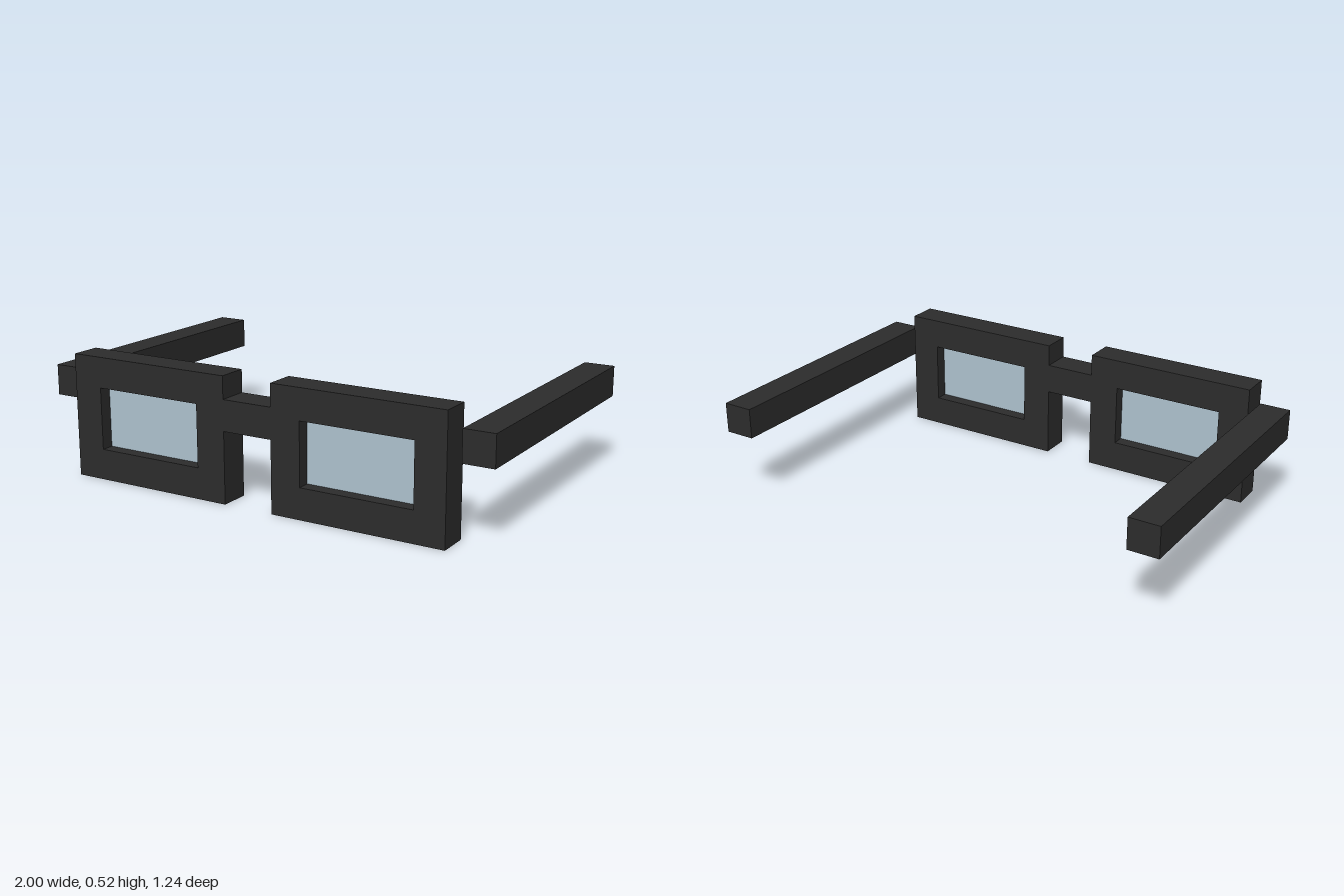
import * as THREE from 'three';

const frameMat = new THREE.MeshStandardMaterial({ color: 0x2c2c2c });
const lensMat = new THREE.MeshStandardMaterial({ color: 0xafc3cf });

// Box given by its extents on each axis
function box(name, [x0, x1], [y0, y1], [z0, z1], material) {
  const mesh = new THREE.Mesh(new THREE.BoxGeometry(x1 - x0, y1 - y0, z1 - z0), material);
  mesh.position.set((x0 + x1) / 2, (y0 + y1) / 2, (z0 + z1) / 2);
  mesh.name = name;
  return mesh;
}

function rectangle(path, x0, x1, y0, y1) {
  path.moveTo(x0, y0).lineTo(x1, y0).lineTo(x1, y1).lineTo(x0, y1).closePath();
  return path;
}

// Square-edged rim with a rectangular opening, centred on x = 0
function rimGeometry() {
  const shape = rectangle(new THREE.Shape(), -0.368, 0.368, 0, 0.516);
  shape.holes.push(rectangle(new THREE.Path(), -0.24, 0.24, 0.129, 0.388));
  return new THREE.ExtrudeGeometry(shape, { depth: 0.128, bevelEnabled: false });
}

export function createModel() {
  const glasses = new THREE.Group();
  glasses.name = 'glasses';
  const rim = rimGeometry();

  for (const [side, s] of [['left', 1], ['right', -1]]) {
    const cx = s * 0.476;

    // Rim
    const rimMesh = new THREE.Mesh(rim, frameMat);
    rimMesh.name = side + 'Rim';
    rimMesh.position.set(cx, 0, 0.492);
    glasses.add(rimMesh);

    // Lens, set halfway through the rim
    glasses.add(box(side + 'Lens', [cx - 0.24, cx + 0.24], [0.129, 0.388], [0.546, 0.566], lensMat));

    // Temple arm, standing slightly clear of the rim
    const arm = box(side + 'Temple', [0.871, 1], [0.31, 0.439], [-0.62, 0.557], frameMat);
    arm.position.x *= s;
    glasses.add(arm);
  }

  // Bridge between the rims
  glasses.add(box('bridge', [-0.108, 0.108], [0.296, 0.423], [0.492, 0.62], frameMat));
  return glasses;
}
